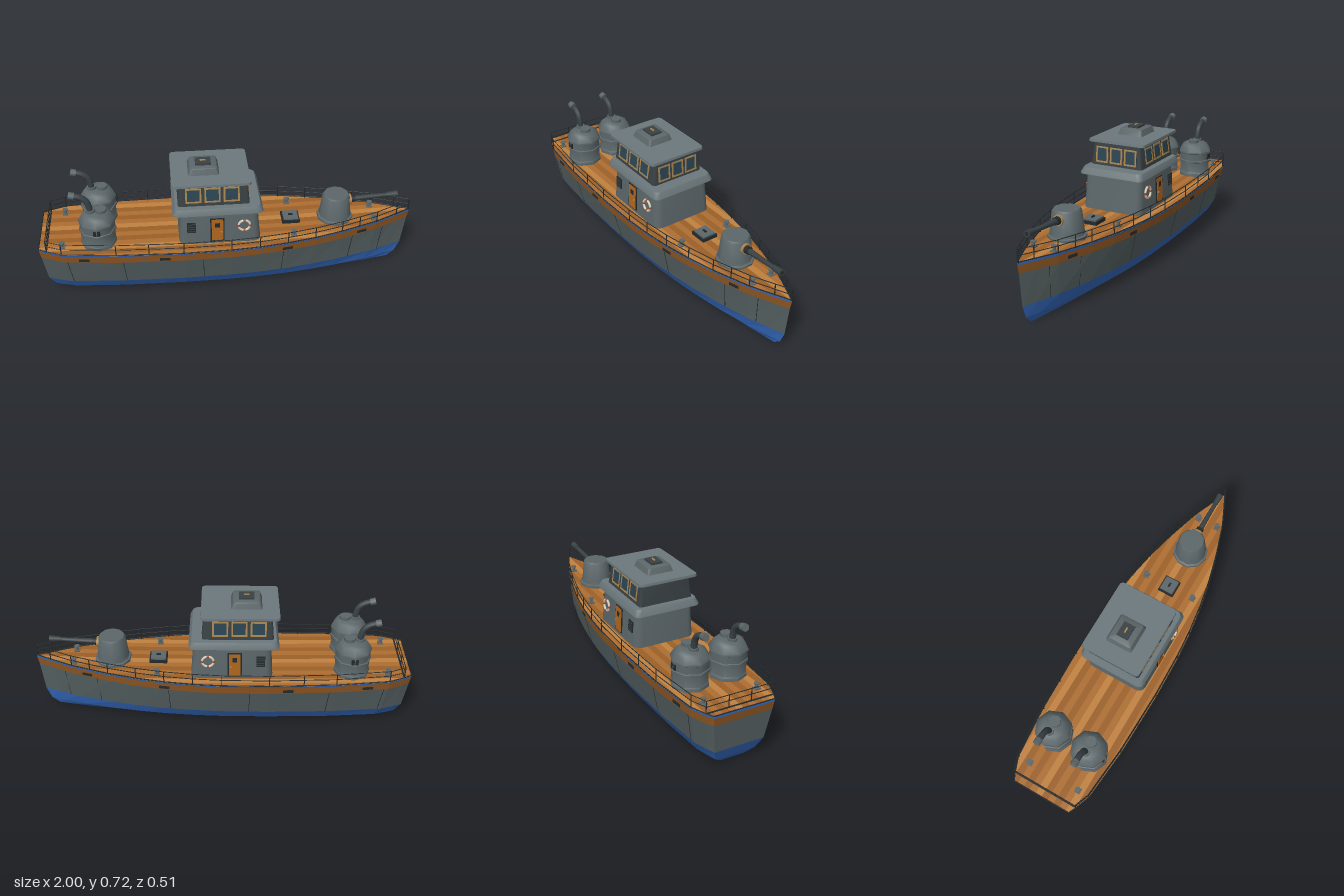
import * as THREE from 'three';
import { toCreasedNormals } from 'three/addons/utils/BufferGeometryUtils.js';

const mat = (color, flatShading = false) => new THREE.MeshStandardMaterial({ color, flatShading });
const M = {
  hull: mat(0x545f60, true), blue: mat(0x3265b6, true), band: mat(0x8d5522, true),
  steel: mat(0x5c676a), dark: mat(0x23292b), roof: mat(0x6c787c),
  wheelhouse: mat(0x394144), glass: mat(0x2b4553), frame: mat(0xab8650), door: mat(0xb0661f),
  white: mat(0xd8cfb8), red: mat(0xb04a28), woodA: mat(0xae6e31), woodB: mat(0x9c6028), woodC: mat(0xc0813f),
};
const V = (x, y, z) => new THREE.Vector3(x, y, z);

export function createModel() {
  const root = new THREE.Group();
  const add = (name, geo, material, x = 0, y = 0, z = 0, parent = root) => {
    const m = new THREE.Mesh(geo, material);
    m.name = name;
    m.position.set(x, y, z);
    parent.add(m);
    return m;
  };
  const box = (name, w, h, d, material, x, y, z, parent) => add(name, new THREE.BoxGeometry(w, h, d), material, x, y, z, parent);
  const rod = (name, a, b, r, material, r2 = r, sides = 6) => {
    const d = b.clone().sub(a), mid = a.clone().add(b).multiplyScalar(0.5);
    const m = add(name, new THREE.CylinderGeometry(r2, r, d.length(), sides), material, mid.x, mid.y, mid.z);
    m.quaternion.setFromUnitVectors(V(0, 1, 0), d.normalize());
    return m;
  };
  // surface through rows of points
  const patch = (name, rows, material) => {
    const p = [];
    for (let i = 0; i + 1 < rows.length; i++) for (let j = 0; j + 1 < rows[i].length; j++) {
      const a = rows[i][j], b = rows[i][j + 1], c = rows[i + 1][j + 1], d = rows[i + 1][j];
      for (const v of [a, b, c, a, c, d]) p.push(v.x, v.y, v.z);
    }
    const g = new THREE.BufferGeometry();
    g.setAttribute('position', new THREE.Float32BufferAttribute(p, 3));
    g.computeVertexNormals();
    return add(name, toCreasedNormals(g, 0.7), material);
  };
  // stack of rounded rectangles [centreX, halfX, halfZ, radius, y], closed at both ends
  const stack = (name, sections, material) => {
    const loop = ([cx, hx, hz, r, y]) => {
      const pts = [];
      for (let q = 0; q < 4; q++) for (let k = 0; k <= 4; k++) {
        const a = (q + k / 4) * Math.PI / 2, sx = q === 0 || q === 3 ? 1 : -1, sz = q < 2 ? 1 : -1;
        pts.push(V(cx + sx * (hx - r) + r * Math.cos(a), y, -(sz * (hz - r) + r * Math.sin(a))));
      }
      return [...pts, pts[0]];
    };
    const flat = ([cx, , , , y]) => Array(21).fill(V(cx, y, 0));
    return patch(name, [flat(sections[0]), ...sections.map(loop), flat(sections.at(-1))], material);
  };

  // hull: half width at deck by station, then levels [y, width factor, stern reach, bow reach]
  const stations = [[-1, 0.163], [-0.96, 0.183], [-0.88, 0.214], [-0.6, 0.24], [-0.25, 0.25], [0, 0.245],
    [0.15, 0.234], [0.3, 0.215], [0.45, 0.187], [0.6, 0.15], [0.8, 0.088], [0.92, 0.036], [1, 0]];
  const levels = [[0, 0.4, 0.92, 0.91], [0.035, 0.66, 0.945, 0.95], [0.1, 0.82, 0.975, 0.975],
    [0.25, 0.965, 0.993, 0.992], [0.292, 0.985, 1, 1], [0.307, 1, 1, 1]];
  const halfWidth = (s) => {
    const i = Math.max(1, stations.findIndex((e) => e[0] >= s));
    const [x0, w0] = stations[i - 1], [x1, w1] = stations[i];
    return w0 + (w1 - w0) * (s - x0) / (x1 - x0);
  };
  const sheer = (s) => s * s * (s > 0 ? 0.02 : 0.01);
  const P = (s, level, side) => {
    const i = Math.min(4, Math.floor(level)), t = level - i;
    const [y, k, back, front] = levels[i].map((v, n) => v + (levels[i + 1][n] - v) * t);
    return V(s * (s < 0 ? back : front), y + sheer(s) * Math.min(1, Math.max(0, level - 2)), side * halfWidth(s) * k);
  };
  const xs = stations.map((e) => e[0]);
  const bands = [['lowerHull', 0, 2, M.blue], ['hullPlating', 2, 3, M.hull], ['rubbingBand', 3, 4, M.band], ['gunwale', 4, 5, M.blue]];
  for (const [name, l0, l1, m] of bands) {
    const lv = Array.from({ length: l1 - l0 + 1 }, (_, i) => l0 + i);
    patch(name + 'Left', lv.map((l) => xs.map((s) => P(s, l, 1))), m);
    patch(name + 'Right', lv.map((l) => xs.map((s) => P(s, l, -1)).reverse()), m);
    patch(name + 'Transom', lv.map((l) => [P(-1, l, -1), P(-1, l, 1)]), m);
  }
  patch('keelPlate', xs.map((s) => [P(s, 0, 1), P(s, 0, -1)]), M.blue);

  // deck planks clipped to the outline
  const deckY = (s) => 0.302 + sheer(s), n = 14;
  const fine = Array.from({ length: 81 }, (_, i) => -1 + i / 40);
  for (let k = 0; k < n; k++) {
    const edge = (s, e) => V(s, deckY(s), THREE.MathUtils.clamp(-0.25 + 0.5 * e / n, -halfWidth(s), halfWidth(s)));
    patch('deckPlank', fine.map((s) => [edge(s, k), edge(s, k + 1)]), [M.woodA, M.woodC, M.woodB, M.woodA, M.woodB][k % 5]);
  }
  box('sternDeckSeam', 0.008, 0.006, 0.35, M.dark, -0.96, deckY(-0.96), 0);

  // gunwale edge, railings, seams and scuppers on both sides
  const railStations = [-0.96, -0.88, -0.6, -0.43, -0.25, 0, 0.15, 0.3, 0.45, 0.6, 0.7, 0.8, 0.92, 0.995];
  const railAt = (s, h, side) => V(s, deckY(s) + h, side * halfWidth(s) * 0.98);
  for (const side of [1, -1]) {
    xs.slice(1).forEach((s, i) => rod('gunwaleEdge', P(xs[i], 5, side), P(s, 5, side), 0.003, M.dark));
    railStations.forEach((s, i) => {
      rod('railPost', railAt(s, 0, side), railAt(s, 0.067, side), 0.0028, M.dark);
      if (i) for (const h of [0.036, 0.066]) rod('rail', railAt(railStations[i - 1], h, side), railAt(s, h, side), 0.0022, M.dark);
    });
    for (const s of [-0.86, -0.57, -0.15, 0.28, 0.67, 0.85]) rod('hullSeam', P(s, 2, side), P(s, 3, side), 0.0016, M.dark);
    for (const s of [-0.77, -0.35, 0.3, 0.72]) {
      const p = P(s, 3.4, side);
      const m = box('scupper', 0.055, 0.016, 0.006, M.dark, p.x, p.y, p.z);
      m.rotation.y = -side * Math.atan((halfWidth(s + 0.02) - halfWidth(s - 0.02)) / 0.04);
    }
    // bollards
    for (const [x, z] of [[-0.88, 0.145], [0.34, 0.145], [0.79, 0.058]]) {
      const y = deckY(x);
      box('bollardBase', 0.03, 0.006, 0.03, M.steel, x, y + 0.003, side * z);
      add('bollard', new THREE.CylinderGeometry(0.008, 0.008, 0.026, 8), M.steel, x, y + 0.015, side * z);
      add('bollardCap', new THREE.CylinderGeometry(0.015, 0.015, 0.006, 8), M.steel, x, y + 0.029, side * z);
    }
  }
  for (const h of [0.036, 0.066]) rod('sternRail', railAt(-0.96, h, -1), railAt(-0.96, h, 1), 0.0022, M.dark);
  for (const z of [-0.06, 0.06]) rod('sternRailPost', V(-0.96, 0.31, z), V(-0.96, 0.378, z), 0.0028, M.dark);
  rod('transomEdge', P(-1, 5, -1), P(-1, 5, 1), 0.003, M.dark);

  // deckhouse, wheelhouse and roofs
  stack('deckhouse', [[-0.055, 0.215, 0.172, 0.04, 0.3], [-0.058, 0.2, 0.163, 0.04, 0.5]], M.steel);
  stack('deckhouseRoof', [[-0.065, 0.235, 0.185, 0.03, 0.49], [-0.065, 0.233, 0.185, 0.03, 0.497], [-0.065, 0.22, 0.172, 0.03, 0.525]], M.roof);
  for (const x of [-0.2, 0.03]) for (const z of [-0.105, 0.105]) box('wheelhouseFoot', 0.05, 0.02, 0.035, M.dark, x, 0.527, z);
  stack('wheelhouse', [[-0.085, 0.185, 0.15, 0.012, 0.531], [-0.085, 0.175, 0.135, 0.012, 0.652]], M.wheelhouse);
  stack('wheelhouseRoof', [[-0.097, 0.198, 0.158, 0.02, 0.648], [-0.097, 0.203, 0.164, 0.02, 0.653], [-0.097, 0.201, 0.163, 0.02, 0.666]], M.roof);
  stack('roofHousing', [[-0.13, 0.081, 0.074, 0.012, 0.664], [-0.13, 0.07, 0.063, 0.012, 0.697], [-0.13, 0.065, 0.058, 0.012, 0.7]], M.steel);
  box('roofHatch', 0.08, 0.011, 0.062, M.wheelhouse, -0.13, 0.705, 0);
  box('roofHatchHandle', 0.03, 0.006, 0.008, M.frame, -0.13, 0.713, 0);

  // fittings on a wall: yaw turns the wall, u runs along it
  const onWall = (name, yaw, cx, u, y, dist, tilt) => {
    const wall = new THREE.Group(), g = new THREE.Group();
    wall.name = name;
    wall.position.x = cx;
    wall.rotation.y = yaw;
    g.position.set(u, y, dist);
    g.rotation.x = -tilt;
    wall.add(g);
    root.add(wall);
    return g;
  };
  const framed = (g, w, h) => {
    box('pane', w, h, 0.005, M.glass, 0, 0, 0, g);
    for (const s of [-1, 1]) {
      box('frameSide', 0.009, h, 0.008, M.frame, s * (w / 2 - 0.0045), 0, 0, g);
      box('frameBar', w, 0.009, 0.008, M.frame, 0, s * (h / 2 - 0.0045), 0, g);
    }
  };
  for (const k of [-1, 0, 1]) framed(onWall('frontWindow', Math.PI / 2, -0.085, k * 0.083, 0.588, 0.181, 0.083), 0.071, 0.086);
  for (const side of [1, -1]) {
    const yaw = side > 0 ? 0 : Math.PI;
    for (const x of [-0.19, -0.092, 0.006]) framed(onWall('sideWindow', yaw, 0, side * x, 0.592, 0.1428, 0.124), 0.082, 0.084);
    const door = onWall('door', yaw, 0, side * -0.07, 0.388, 0.168, 0.045);
    box('doorFrame', 0.074, 0.14, 0.008, M.dark, 0, 0, 0, door);
    box('doorLeaf', 0.06, 0.128, 0.014, M.door, 0, 0, 0, door);
    box('doorPort', 0.024, 0.026, 0.017, M.dark, 0, 0.03, 0, door);
    box('doorHandle', 0.008, 0.008, 0.024, M.frame, side * 0.02, -0.01, 0, door);
    const vent = onWall('vent', yaw, 0, side * -0.205, 0.407, 0.168, 0.045);
    box('ventPanel', 0.045, 0.06, 0.008, M.dark, 0, 0, 0, vent);
    for (let i = 0; i < 4; i++) box('ventSlat', 0.04, 0.006, 0.012, M.wheelhouse, 0, -0.021 + i * 0.014, 0, vent).rotation.x = 0.4;
    // lifebuoy with four red bands
    const ring = onWall('lifebuoy', yaw, 0, side * 0.07, 0.41, 0.174, 0.045);
    for (let i = 0; i < 8; i++) {
      const arc = i % 2 ? 1.17 : 0.4;
      const seg = add('lifebuoySegment', new THREE.TorusGeometry(0.03, 0.0065, 8, 6, arc), i % 2 ? M.white : M.red, 0, 0, 0, ring);
      seg.rotation.z = Math.floor(i / 2) * Math.PI / 2 + (i % 2 ? 0.2 : -0.2);
    }
  }

  // deck hatch
  box('hatchCoaming', 0.095, 0.022, 0.09, M.dark, 0.34, 0.311, 0);
  box('hatchLid', 0.08, 0.01, 0.076, M.steel, 0.34, 0.325, 0);
  box('hatchHandle', 0.024, 0.008, 0.01, M.dark, 0.34, 0.333, 0);

  // twin boilers with bent exhaust pipes
  const lathe = (pts, sides) => toCreasedNormals(
    new THREE.LatheGeometry(pts.map(([r, y]) => new THREE.Vector2(r, y)), sides), 0.8);
  const boiler = lathe([[0.094, 0.3], [0.094, 0.325], [0.09, 0.33], [0.09, 0.385], [0.097, 0.388], [0.097, 0.4],
    [0.092, 0.403], [0.092, 0.44], [0.097, 0.443], [0.097, 0.452], [0.075, 0.488], [0.055, 0.5], [0, 0.5]], 8);
  for (const z of [-0.105, 0.105]) {
    add('boiler', boiler, M.steel, -0.69, 0, z);
    add('boilerCap', new THREE.CylinderGeometry(0.03, 0.03, 0.02, 8), M.steel, -0.665, 0.507, z);
    const path = new THREE.CatmullRomCurve3([V(-0.72, 0.49, z), V(-0.722, 0.53, z), V(-0.735, 0.57, z), V(-0.765, 0.594, z), V(-0.805, 0.605, z)]);
    add('exhaustPipe', new THREE.TubeGeometry(path, 14, 0.016, 10), M.wheelhouse);
    rod('exhaustMouth', V(-0.792, 0.602, z), V(-0.82, 0.609, z), 0.019, M.steel, 0.019, 10);
    rod('pipeCollar', V(-0.72, 0.495, z), V(-0.72, 0.513, z), 0.024, M.steel, 0.024, 10);
    box('boilerHatch', 0.036, 0.03, 0.012, M.dark, -0.69, 0.42, z + Math.sign(z) * 0.085);
  }

  // gun turret
  add('turret', lathe([[0.098, 0.3], [0.098, 0.322], [0.088, 0.326], [0.084, 0.345], [0.073, 0.445], [0.066, 0.455], [0, 0.456]], 10), M.steel, 0.585, 0, 0);
  rod('gunCollar', V(0.63, 0.413, 0), V(0.668, 0.416, 0), 0.03, M.frame, 0.028, 10);
  rod('gunMantlet', V(0.63, 0.413, 0), V(0.69, 0.418, 0), 0.024, M.dark, 0.02, 10);
  rod('gunBarrel', V(0.68, 0.417, 0), V(0.87, 0.43, 0), 0.015, M.wheelhouse, 0.011, 10);
  rod('gunMuzzle', V(0.86, 0.43, 0), V(0.92, 0.434, 0), 0.014, M.wheelhouse, 0.018, 10);
  rod('gunBore', V(0.915, 0.4337, 0), V(0.921, 0.4341, 0), 0.011, M.dark, 0.011, 10);
  return root;
}
